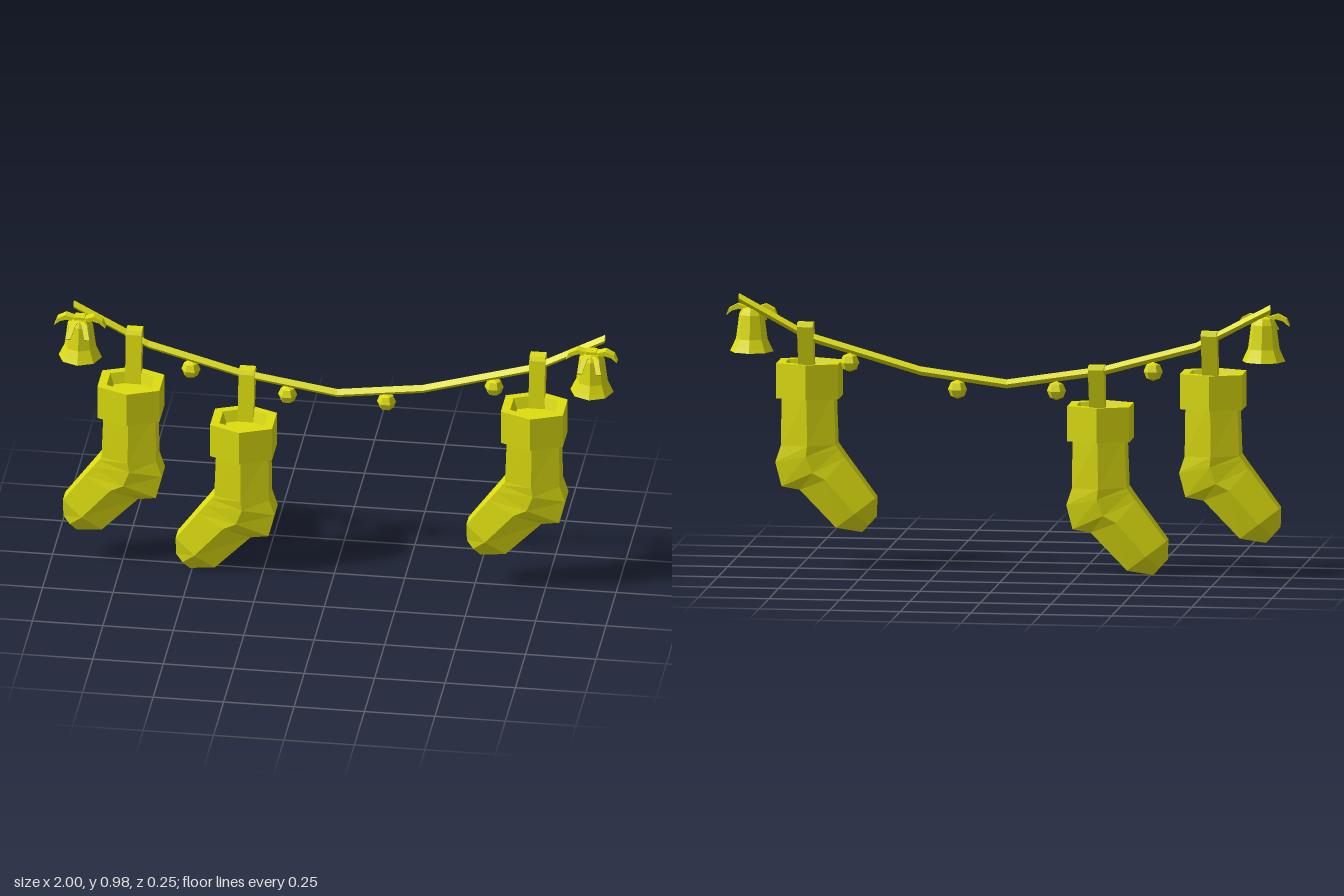
import * as THREE from 'three';

const yellow = new THREE.MeshStandardMaterial({ color: 0xdede10, side: THREE.DoubleSide });
yellow.name = 'yellow';

function part(name, geometry, x = 0, y = 0, z = 0) {
  const g = geometry.index ? geometry.toNonIndexed() : geometry;
  g.computeVertexNormals(); // faceted look
  const mesh = new THREE.Mesh(g, yellow);
  mesh.name = name;
  mesh.position.set(x, y, z);
  return mesh;
}

// Skin a list of equal-length rings of [x, y, z] and cap both ends
function loft(rings) {
  const out = [];
  const n = rings[0].length;
  const tri = (...pts) => pts.forEach((p) => out.push(...p));
  for (let i = 0; i < rings.length - 1; i++) {
    for (let j = 0; j < n; j++) {
      const k = (j + 1) % n;
      const [a, b, c, d] = [rings[i][j], rings[i][k], rings[i + 1][k], rings[i + 1][j]];
      tri(a, b, c);
      tri(a, c, d);
    }
  }
  const first = rings[0], last = rings[rings.length - 1];
  for (let j = 1; j < n - 1; j++) {
    tri(first[0], first[j + 1], first[j]);
    tri(last[0], last[j], last[j + 1]);
  }
  const g = new THREE.BufferGeometry();
  g.setAttribute('position', new THREE.Float32BufferAttribute(out, 3));
  return g;
}

// Six-sided section between a back point and a front point, half depth hz
const HEX = [[1, -0.57], [1, 0.57], [0, 1], [-1, 0.57], [-1, -0.57], [0, -1]];
function hexRing(bx, by, fx, fy, hz) {
  return HEX.map(([u, w]) => [
    (bx + fx) / 2 + (u * (bx - fx)) / 2,
    (by + fy) / 2 + (u * (by - fy)) / 2,
    w * hz,
  ]);
}

// Flat outline in x/y given thickness along z
function slab(points, depth) {
  const shape = new THREE.Shape(points.map(([x, y]) => new THREE.Vector2(x, y)));
  const g = new THREE.ExtrudeGeometry(shape, { depth, bevelEnabled: false });
  return g.translate(0, 0, -depth / 2);
}

// Stocking with its origin at the bottom of the cuff
function makeStocking(strapTop) {
  const group = new THREE.Group();
  group.name = 'stocking';
  const body = [
    [0.093, 0.02, -0.091, 0.02, 0.074],
    [0.096, -0.17, -0.098, -0.165, 0.072],
    [0.116, -0.23, -0.108, -0.18, 0.07],
    [0.094, -0.316, -0.13, -0.21, 0.066],
    [0.03, -0.327, -0.158, -0.247, 0.062],
    [-0.098, -0.46, -0.237, -0.353, 0.052],
    [-0.189, -0.476, -0.237, -0.423, 0.026],
  ];
  group.add(part('legAndFoot', loft(body.map((s) => hexRing(...s)))));

  // Cuff: recessed floor, inner wall, rim, outer wall
  const cuff = [[0.6, 0.085], [0.72, 0.125], [1, 0.125], [1, 0]];
  group.add(part('cuff', loft(cuff.map(([s, y]) => hexRing(0.11 * s, y, -0.11 * s, y, 0.107 * s)))));

  // Strap from the back of the cuff up over the rope
  const strap = slab([
    [0.05, 0.08], [0.078, 0.08], [0.122, strapTop - 0.015],
    [0.115, strapTop], [0.078, strapTop], [0.07, strapTop - 0.015],
  ], 0.056);
  strap.rotateY(Math.PI / 2); // outline x becomes -z
  group.add(part('strap', strap));
  return group;
}

// Bell with its origin at the centre of the mouth
function makeBell() {
  const group = new THREE.Group();
  group.name = 'bell';
  const profile = [[0.077, 0], [0.07, 0.014], [0.056, 0.045], [0.05, 0.09],
    [0.045, 0.13], [0.034, 0.152], [0, 0.162]];
  group.add(part('bellBody', new THREE.LatheGeometry(
    profile.map(([r, y]) => new THREE.Vector2(r, y)), 8)));
  group.add(part('clapper', new THREE.SphereGeometry(0.021, 6, 4), 0, 0.018, 0));

  // Bow: knot, two drooping loops and two hanging tails
  group.add(part('knot', new THREE.BoxGeometry(0.036, 0.036, 0.036), 0, 0.147, 0.008));
  for (const s of [-1, 1]) {
    const loop = [[0, 0.152], [0.05, 0.168], [0.08, 0.152], [0.091, 0.125],
      [0.07, 0.143], [0.045, 0.15], [0, 0.142]];
    group.add(part('bowLoop', slab(loop.map(([x, y]) => [s * x, y]), 0.03), 0, 0, 0.005));
    const tail = [[0, 0.155, 0.02], [0.02, 0.145, 0.045], [0.034, 0.105, 0.078]];
    group.add(part('bowTail', loft(tail.map(([x, y, z]) => [
      [s * x - 0.009, y, z], [s * x + 0.009, y, z],
      [s * x + 0.009, y - 0.005, z - 0.004], [s * x - 0.009, y - 0.005, z - 0.004],
    ]))));
  }
  return group;
}

export function createModel() {
  const model = new THREE.Group();
  model.name = 'stockingGarland';

  // Sagging four-sided rope
  const path = [[-0.935, 0.975], [-0.67, 0.835], [-0.34, 0.745], [0, 0.692],
    [0.305, 0.732], [0.7, 0.845], [0.95, 0.98]];
  const r = 0.016;
  model.add(part('rope', loft(path.map(([x, y]) => [
    [x, y + r, 0], [x, y, r], [x, y - r, 0], [x, y, -r],
  ])), 0, 0, -0.074));

  // Stockings: x, cuff bottom, strap top above it
  for (const [x, y, top] of [[-0.72, 0.61, 0.283], [-0.32, 0.488, 0.277], [0.712, 0.62, 0.278]]) {
    const stocking = makeStocking(top);
    stocking.position.set(x, y, 0.017);
    model.add(stocking);
  }

  // Small round baubles under the rope
  for (const [x, y] of [[-0.52, 0.747], [-0.177, 0.672], [0.174, 0.67], [0.556, 0.758]]) {
    model.add(part('bauble', new THREE.SphereGeometry(0.034, 6, 4), x, y, -0.078));
  }

  // A bell at each end
  for (const s of [-1, 1]) {
    const bell = makeBell();
    bell.position.set(s * 0.908, 0.787, -0.046);
    model.add(bell);
  }
  return model;
}
